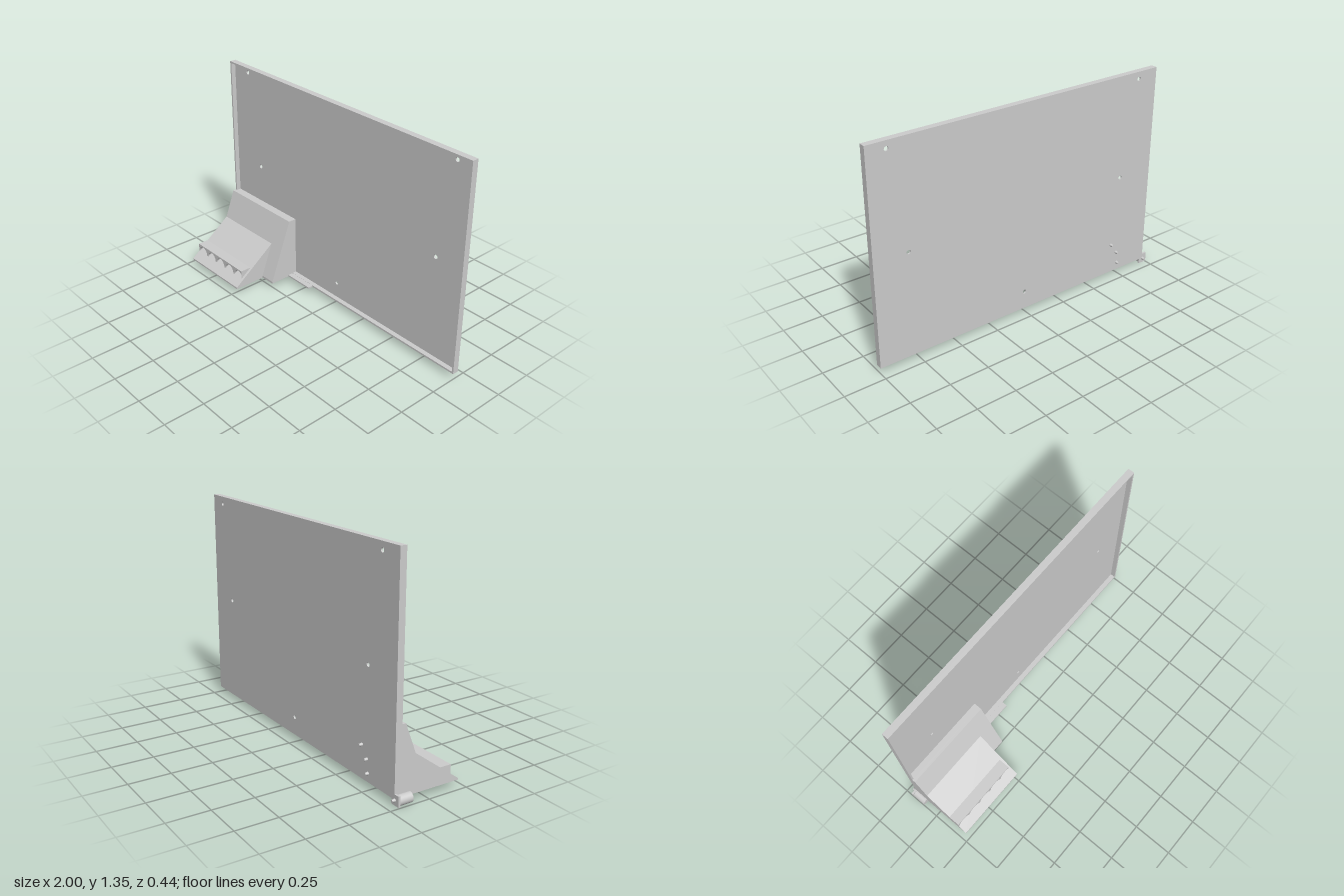
import * as THREE from 'three';

const mat = new THREE.MeshStandardMaterial({ color: 0xcccccc });
const X0 = -0.965, X1 = 1, Y0 = 0.037, Y1 = 1.345;

export function createModel() {
  const model = new THREE.Group();

  function add(name, geometry, x = 0, y = 0, z = 0) {
    const mesh = new THREE.Mesh(geometry, mat);
    mesh.name = name;
    mesh.position.set(x, y, z);
    model.add(mesh);
    return mesh;
  }
  // box given by its minimum and maximum corners
  function box(name, [ax, ay, az], [bx, by, bz]) {
    return add(name, new THREE.BoxGeometry(bx - ax, by - ay, bz - az),
      (ax + bx) / 2, (ay + by) / 2, (az + bz) / 2);
  }
  function extrude(shape, depth, curveSegments = 16) {
    return new THREE.ExtrudeGeometry(shape, { depth, bevelEnabled: false, curveSegments });
  }
  function rect(Type, inset) {
    return new Type([[X0 + inset, Y0 + inset], [X1 - inset, Y0 + inset],
      [X1 - inset, Y1 - inset], [X0 + inset, Y1 - inset]].map(p => new THREE.Vector2(...p)));
  }
  // side profile in (z, y), extruded along x
  function sideExtrude(name, points, xa, xb) {
    const shape = new THREE.Shape(points.map(([z, y]) => new THREE.Vector2(-z, y)));
    const g = extrude(shape, xb - xa);
    g.rotateY(Math.PI / 2);
    return add(name, g, xa);
  }

  // back panel with mounting holes
  const panel = rect(THREE.Shape, 0);
  for (const [x, y] of [[-0.825, 1.3], [0.88, 1.3], [-0.72, 0.69], [0.787, 0.69], [0.015, 0.15]]) {
    panel.holes.push(new THREE.Path().absarc(x, y, 0.013, 0, Math.PI * 2, true));
  }
  add('backPanel', extrude(panel, 0.01), 0, 0, -0.2);

  // raised rim round the panel
  const rim = rect(THREE.Shape, 0);
  rim.holes.push(rect(THREE.Path, 0.011));
  add('panelRim', extrude(rim, 0.03), 0, 0, -0.19);

  // sloped support block and the wider wedge in front of it
  sideExtrude('supportBlock',
    [[-0.19, Y0], [0.01, Y0], [0.01, 0.05], [-0.138, 0.44], [-0.16, 0.44], [-0.19, 0.44]], X0, -0.38);
  sideExtrude('frontWedge',
    [[-0.12, Y0], [0.22, Y0], [0.22, 0.047], [-0.07, 0.262], [-0.12, 0.262]], X0, -0.48);

  // small ledge beside the block
  box('ledge', [-0.38, Y0, -0.16], [-0.18, 0.047, -0.125]);

  // comb bar with five arches along its underside
  const comb = new THREE.Shape();
  const left = X0, right = -0.497, low = 0.085, pitch = 0.0965, r = 0.041;
  comb.moveTo(left, 0.14);
  comb.lineTo(left, low);
  for (let i = 0; i < 5; i++) {
    const cx = left + 0.048 + i * pitch;
    comb.lineTo(cx - r, low);
    comb.absarc(cx, 0.089, r, Math.PI, 0, true);
    comb.lineTo(cx + r, low);
  }
  comb.lineTo(right, low);
  comb.lineTo(right, 0.14);
  add('combBar', extrude(comb, 0.075), 0, 0, 0.092);

  // corner fitting: plate and barrel
  box('cornerPlate', [-1, 0.005, -0.2], [-0.94, 0.067, -0.188]);
  const barrel = new THREE.CylinderGeometry(0.03, 0.03, 0.085, 32).rotateX(Math.PI / 2);
  add('cornerBarrel', barrel, -0.97, 0.03, -0.1455);

  // tapered pegs on the rear face
  for (const [x, y] of [[-0.675, 0.233], [-0.722, 0.166], [-0.732, 0.088], [-0.968, 0.035]]) {
    const peg = new THREE.CylinderGeometry(0.007, 0.01, 0.022, 20).rotateX(-Math.PI / 2);
    add('rearPeg', peg, x, y, -0.209);
  }

  // base sits on the ground at the barrel
  model.position.y = 0;
  return model;
}
